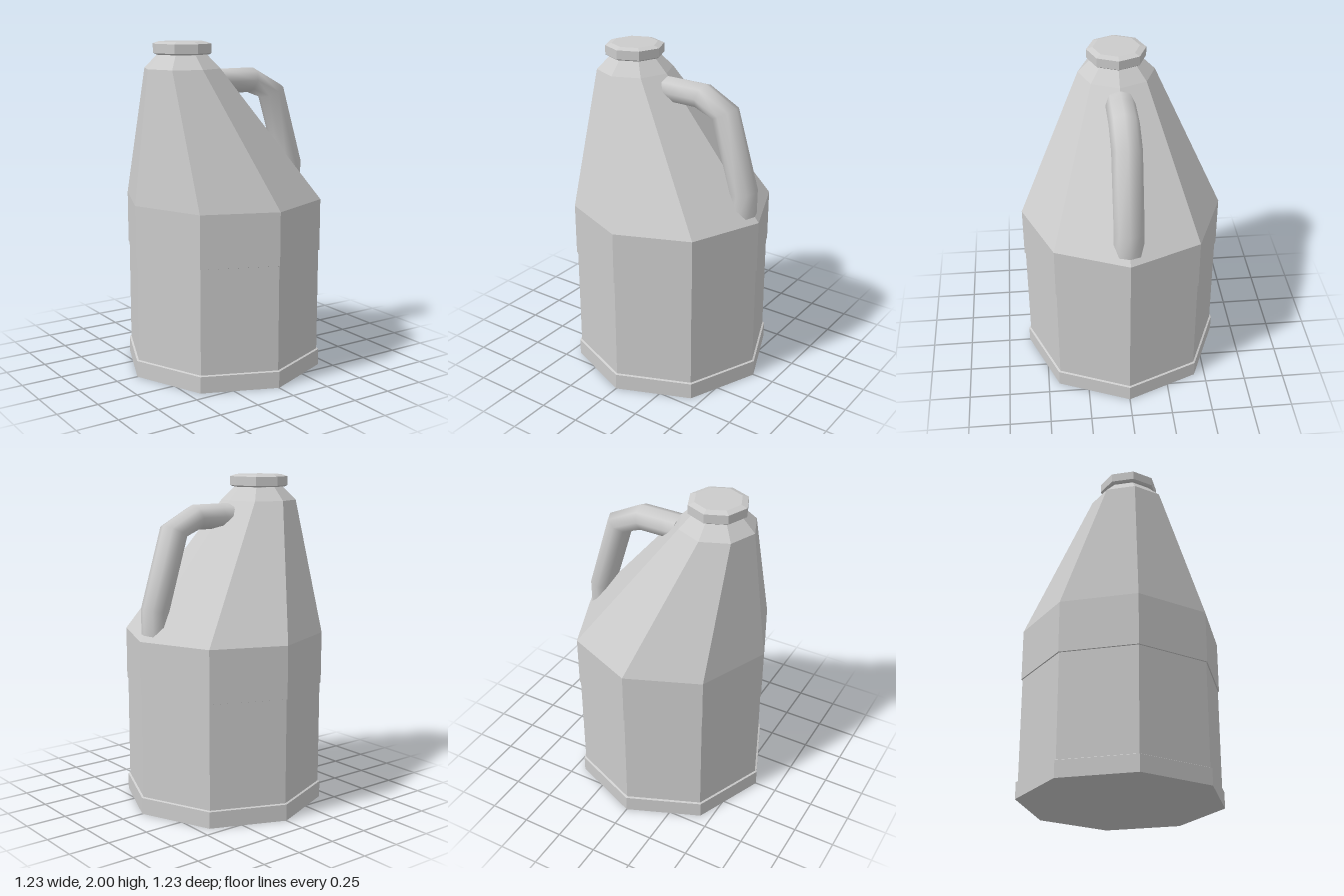
import * as THREE from 'three';

const SIDES = 8;

// Skin a list of closed rings (each an array of Vector3) and cap both ends.
function loft(rings, flat) {
  const n = rings[0].length;
  const pos = [];
  const index = [];
  rings.forEach((ring) => ring.forEach((p) => pos.push(p.x, p.y, p.z)));
  for (let r = 0; r < rings.length - 1; r++) {
    for (let i = 0; i < n; i++) {
      const j = (i + 1) % n;
      const a = r * n + i, b = r * n + j, c = a + n, d = b + n;
      index.push(a, c, b, b, c, d);
    }
  }
  // End caps use their own vertices so the rims stay sharp
  [rings[0], rings[rings.length - 1]].forEach((ring, end) => {
    const start = pos.length / 3;
    ring.forEach((p) => pos.push(p.x, p.y, p.z));
    for (let i = 1; i < n - 1; i++) {
      if (end === 0) index.push(start, start + i, start + i + 1);
      else index.push(start, start + i + 1, start + i);
    }
  });
  const geo = new THREE.BufferGeometry();
  geo.setAttribute('position', new THREE.Float32BufferAttribute(pos, 3));
  geo.setIndex(index);
  geo.computeVertexNormals();
  const mat = new THREE.MeshStandardMaterial({ color: 0xcccccc, flatShading: flat });
  return new THREE.Mesh(geo, mat);
}

// Horizontal octagon with corners on the axes
function octagon(radius, y, cx = 0) {
  return Array.from({ length: SIDES }, (_, i) => {
    const a = (i / SIDES) * Math.PI * 2;
    return new THREE.Vector3(cx + radius * Math.cos(a), y, radius * Math.sin(a));
  });
}

// Handle cross-section: u points to the outer side of the bend, z is the width
function handleRing([x, y, ux, uy]) {
  return Array.from({ length: SIDES }, (_, i) => {
    const a = (i / SIDES) * Math.PI * 2;
    const k = Math.cos(a);
    return new THREE.Vector3(x + k * ux, y + k * uy, -0.088 * Math.sin(a));
  });
}

export function createModel() {
  const group = new THREE.Group();
  const neckX = -0.28;

  const add = (name, mesh) => {
    mesh.name = name;
    group.add(mesh);
  };

  // Foot rim, recessed label panel, upper body, and shoulder leaning to the neck
  add('body', loft([
    octagon(0.613, 0),
    octagon(0.613, 0.1),
    octagon(0.601, 0.105),
    octagon(0.601, 0.737),
    octagon(0.608, 0.739),
    octagon(0.608, 1.055),
    octagon(0.23, 1.845, neckX),
    octagon(0.15, 1.925, neckX),
    octagon(0.15, 1.94, neckX),
  ], true));

  // Screw cap with a chamfered top
  add('cap', loft([
    octagon(0.165, 1.926, neckX),
    octagon(0.177, 1.934, neckX),
    octagon(0.177, 1.988, neckX),
    octagon(0.14, 2, neckX),
  ], true));

  // Bent handle: centre x, y and the half-thickness vector of each section
  const sections = [
    [-0.03, 1.757, -0.015, 0.075],
    [0.04, 1.757, 0, 0.075],
    [0.205, 1.757, 0.02, 0.075],
    [0.362, 1.682, 0.073, 0.038],
    [0.502, 1.225, 0.08, 0.015],
    [0.5, 1.03, 0.08, 0],
  ];
  add('handle', loft(sections.map(handleRing), false));

  return group;
}
